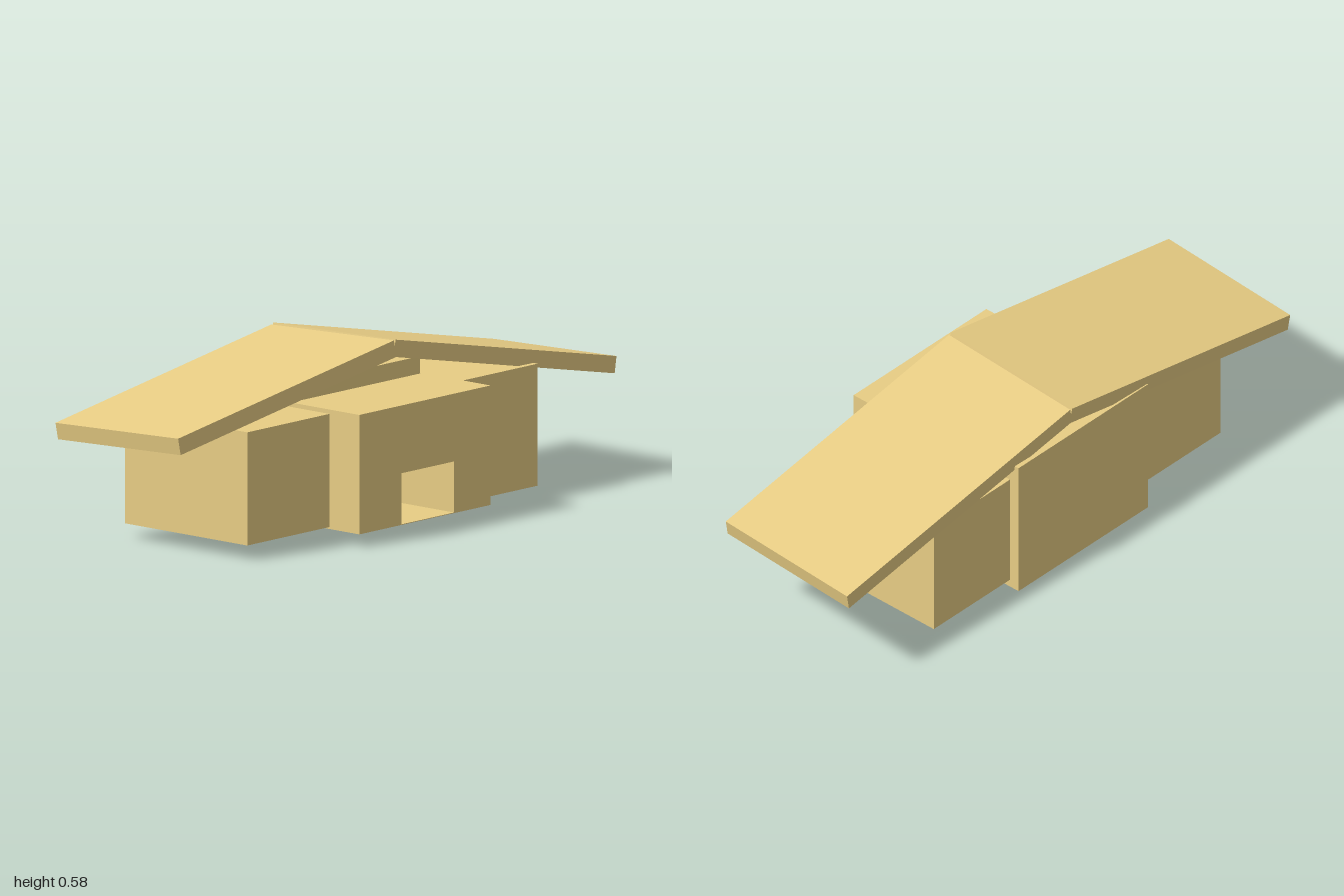
import * as THREE from 'three';

const material = new THREE.MeshStandardMaterial({ color: 0xe8cd84, flatShading: true });

function addMesh(group, name, geometry) {
  const mesh = new THREE.Mesh(geometry, material);
  mesh.name = name;
  group.add(mesh);
  return mesh;
}

// Box given by its extents along each axis
function addBlock(group, name, [x0, x1], [y0, y1], [z0, z1]) {
  const mesh = addMesh(group, name, new THREE.BoxGeometry(x1 - x0, y1 - y0, z1 - z0));
  mesh.position.set((x0 + x1) / 2, (y0 + y1) / 2, (z0 + z1) / 2);
}

// Tilted slab from three corners of its top face: back left, back right, front left
function addSlab(group, name, a, b, c, thickness) {
  const origin = new THREE.Vector3(...a);
  const across = new THREE.Vector3(...b).sub(origin);
  const along = new THREE.Vector3(...c).sub(origin);
  const up = along.clone().cross(across).normalize().multiplyScalar(thickness);
  const centre = origin.clone().addScaledVector(across, 0.5).addScaledVector(along, 0.5).addScaledVector(up, -0.5);
  const matrix = new THREE.Matrix4().makeBasis(across, up, along).setPosition(centre);
  addMesh(group, name, new THREE.BoxGeometry(1, 1, 1).applyMatrix4(matrix));
}

export function createModel() {
  const house = new THREE.Group();
  house.name = 'house';

  // Rooms
  addBlock(house, 'mainRoom', [-0.34, 0.06], [0, 0.475], [-0.255, 0.34]);
  addBlock(house, 'frontRoom', [-0.287, 0.224], [0.048, 0.407], [0.348, 0.73]);
  addBlock(house, 'backRoom', [-0.31, 0.231], [0.033, 0.42], [-0.612, -0.262]);

  // Entrance room with a doorway cut through to the main room
  const wall = new THREE.Shape([
    [-0.345, 0.041], [-0.15, 0.041], [-0.15, 0.205], [0.095, 0.205],
    [0.095, 0.041], [0.265, 0.041], [0.265, 0.42], [-0.345, 0.42],
  ].map(([s, y]) => new THREE.Vector2(s, y)));
  const entrance = new THREE.ExtrudeGeometry(wall, { depth: 0.286, bevelEnabled: false });
  entrance.rotateY(Math.PI / 2).translate(0.06, 0, 0);
  addMesh(house, 'entranceRoom', entrance);
  addBlock(house, 'doorwayFloor', [0.06, 0.346], [0.041, 0.043], [-0.095, 0.15]);

  // Slightly skewed roof slabs meeting at the ridge
  addSlab(house, 'frontRoof', [-0.331, 0.561, 0.001], [0.194, 0.585, 0.015], [-0.35, 0.397, 0.983], 0.054);
  addSlab(house, 'backRoof', [-0.3, 0.366, -1], [0.224, 0.386, -0.986], [-0.334, 0.565, -0.011], 0.054);

  return house;
}
